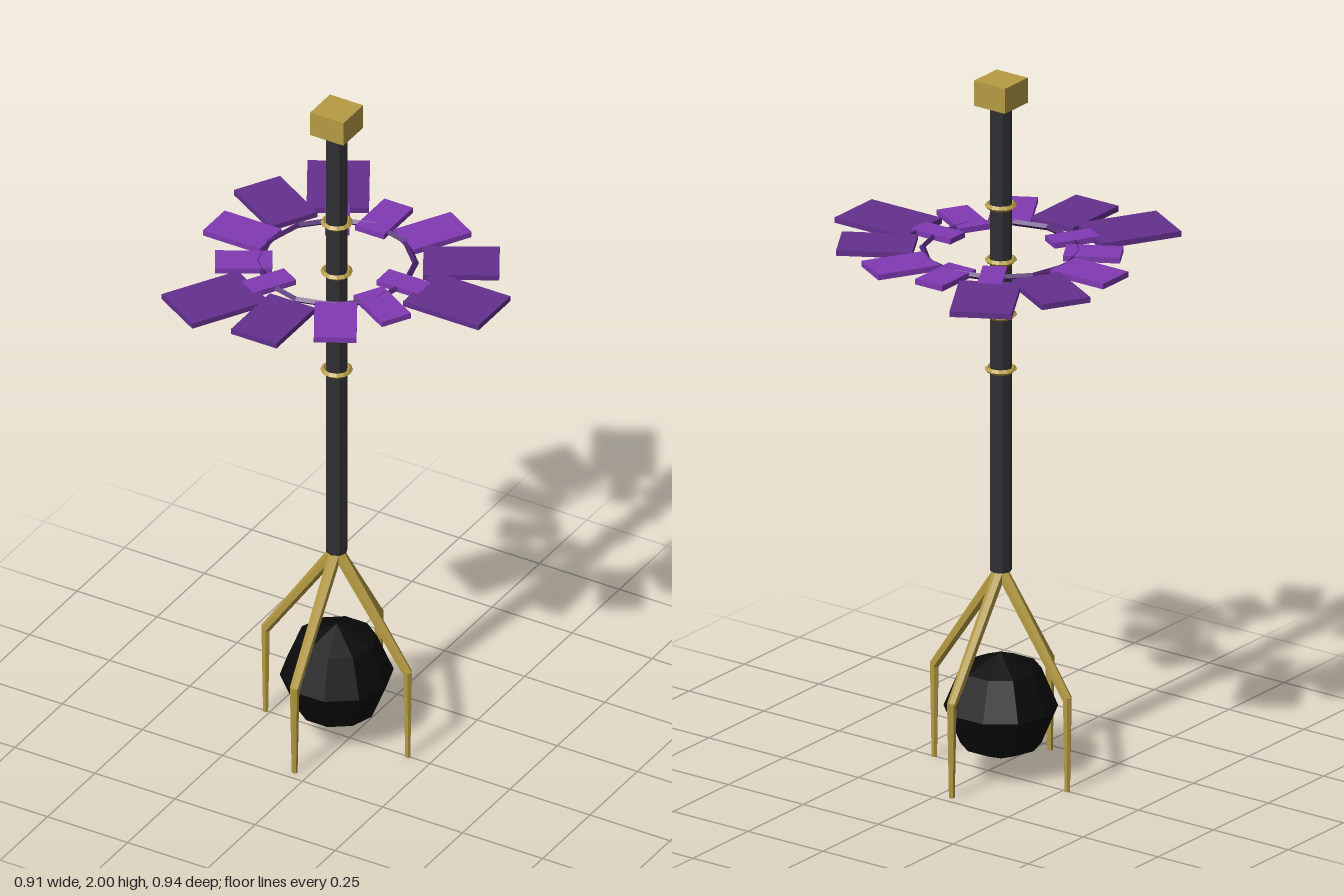
import * as THREE from 'three';

const mat = (name, color) => {
  const m = new THREE.MeshStandardMaterial({ color, flatShading: true });
  m.name = name;
  return m;
};

export function createModel() {
  const gold = mat('gold', 0xb59b43);
  const shaftGrey = mat('charcoal', 0x303034);
  const black = mat('black', 0x0a0a0a);
  const darkPurple = mat('dark purple', 0x642f8e);
  const lightPurple = mat('light purple', 0x8039b3);
  const ringPurple = mat('deep purple', 0x4c2470);

  const model = new THREE.Group();
  model.name = 'staff';
  model.position.x = -0.041;

  const add = (parent, name, geometry, material, x = 0, y = 0, z = 0) => {
    const mesh = new THREE.Mesh(geometry, material);
    mesh.name = name;
    mesh.position.set(x, y, z);
    parent.add(mesh);
    return mesh;
  };

  // Shaft, square cap and collars
  add(model, 'shaft', new THREE.CylinderGeometry(0.03, 0.03, 1.35, 8), shaftGrey, 0, 1.262);
  add(model, 'cap', new THREE.BoxGeometry(0.104, 0.072, 0.104), gold, 0, 1.964);
  for (const y of [1.167, 1.324, 1.481, 1.638]) {
    add(model, 'collar', new THREE.TorusGeometry(0.036, 0.008, 4, 12).rotateX(Math.PI / 2), gold, 0, y);
  }

  // Faceted orb held between the prongs
  add(model, 'orb', new THREE.SphereGeometry(0.154, 10, 4), black, 0, 0.198);

  // Four bent, tapering prongs
  const strut = (parent, name, x0, y0, x1, y1, r0, r1) => {
    const dx = x0 - x1, dy = y0 - y1;
    const g = new THREE.CylinderGeometry(r0, r1, Math.hypot(dx, dy), 6, 1, false, Math.PI / 2);
    add(parent, name, g, gold, (x0 + x1) / 2, (y0 + y1) / 2).rotation.z = Math.atan2(-dx, dy);
  };
  for (let i = 0; i < 4; i++) {
    const prong = new THREE.Group();
    prong.name = 'prong';
    prong.rotation.y = i * Math.PI / 2;
    strut(prong, 'upperProng', 0, 0.59, 0.222, 0.265, 0.018, 0.014);
    strut(prong, 'lowerProng', 0.222, 0.272, 0.222, 0, 0.013, 0.008);
    model.add(prong);
  }

  // Floating ring with flat shards, repeated in three growing spirals
  const haloY = 1.508;
  add(model, 'haloRing', new THREE.TorusGeometry(0.212, 0.009, 4, 12).rotateX(Math.PI / 2), ringPurple, 0, haloY);
  // angle, radius, length, width, material, lift
  const shards = [
    [0, 0.21, 0.132, 0.066, lightPurple, 0.001],
    [30, 0.25, 0.154, 0.09, lightPurple, 0],
    [60, 0.295, 0.178, 0.115, lightPurple, 0],
    [90, 0.335, 0.205, 0.142, darkPurple, 0],
    [120, 0.375, 0.235, 0.168, darkPurple, 0],
  ];
  for (let k = 0; k < 3; k++) {
    for (const [deg, radius, length, width, material, lift] of shards) {
      const shard = new THREE.Group();
      shard.name = 'shard';
      shard.rotation.y = -THREE.MathUtils.degToRad(deg + k * 120);
      add(shard, 'shardPlate', new THREE.BoxGeometry(length, 0.016, width), material, radius, haloY + lift);
      model.add(shard);
    }
  }

  const root = new THREE.Group();
  root.name = 'model';
  root.add(model);
  return root;
}
